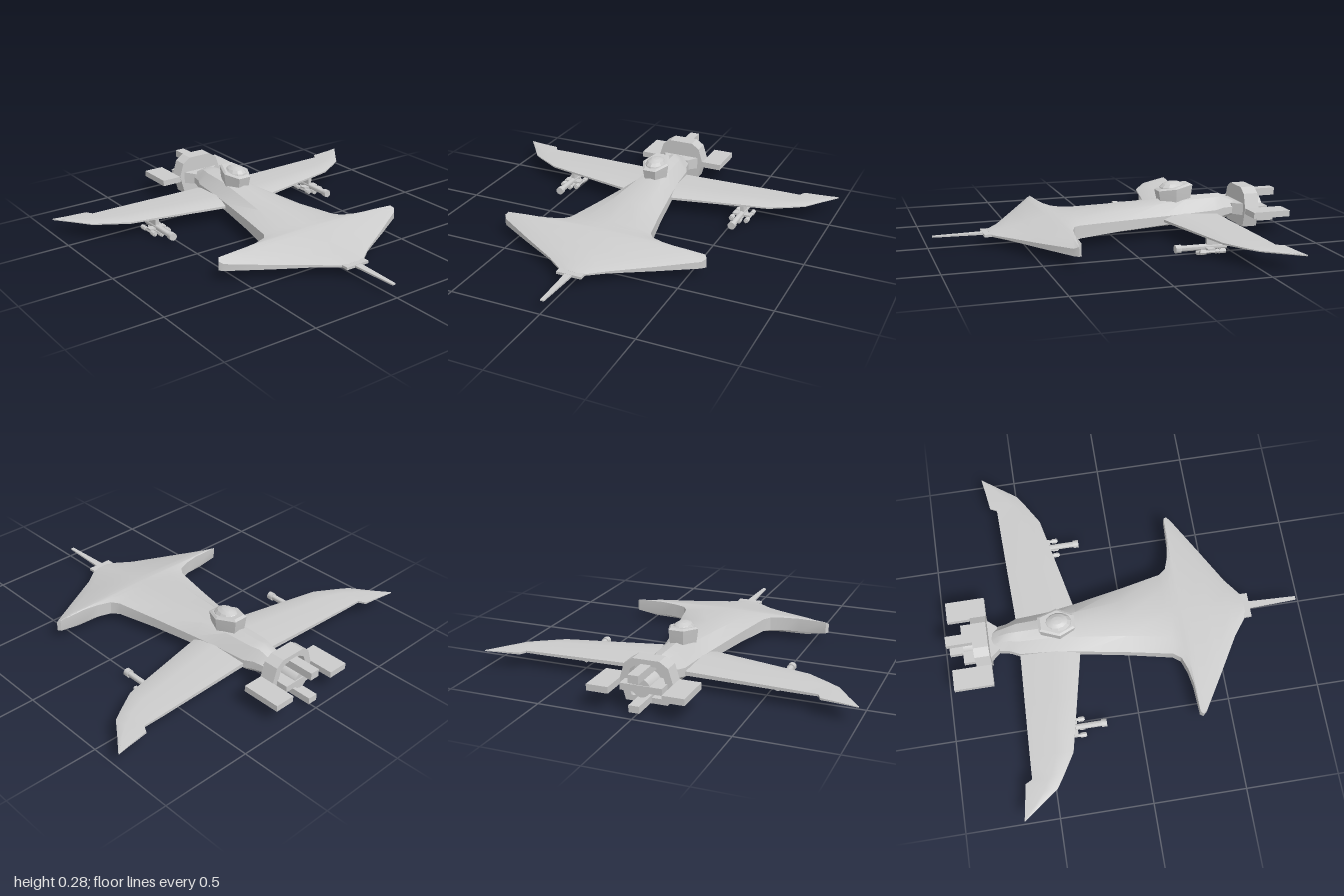
import * as THREE from 'three';
import { toCreasedNormals } from 'three/addons/utils/BufferGeometryUtils.js';

const material = new THREE.MeshStandardMaterial({ color: 0xcccccc });

function add(parent, name, geometry, x = 0, y = 0, z = 0) {
  const mesh = new THREE.Mesh(geometry, material);
  mesh.name = name;
  mesh.position.set(x, y, z);
  parent.add(mesh);
  return mesh;
}

// Closed skin over a row of equal-length rings, faces turned outward
function loft(rings, crease = 0.45) {
  const n = rings[0].length, last = rings.length - 1, index = [];
  for (let i = 0; i < last; i++) {
    for (let j = 0; j < n; j++) {
      const a = i * n + j, b = i * n + (j + 1) % n;
      index.push(a, b, a + n, b, b + n, a + n);
    }
  }
  for (let j = 1; j < n - 1; j++) {
    index.push(0, j + 1, j, last * n, last * n + j, last * n + j + 1);
  }
  const p = rings.flat().map(q => new THREE.Vector3(...q));
  let volume = 0;
  for (let k = 0; k < index.length; k += 3) {
    volume += p[index[k]].dot(p[index[k + 1]].clone().cross(p[index[k + 2]]));
  }
  if (volume < 0) index.reverse();
  const geometry = new THREE.BufferGeometry().setFromPoints(p);
  geometry.setIndex(index);
  return toCreasedNormals(geometry, crease);
}

// Symmetric hull ring: half outline from top centre to bottom centre, mirrored
function hullRing([z, w, top, s, shoulder, edgeTop, edgeLow, low]) {
  const half = [[s * w, shoulder], [w, edgeTop], [w, edgeLow], [0.8 * w, low]];
  return [
    [0, top, z], ...half.map(([x, y]) => [x, y, z]),
    [0, low, z], ...half.reverse().map(([x, y]) => [-x, y, z]),
  ];
}

function rodZ(radius, length, sides = 10) {
  return toCreasedNormals(new THREE.CylinderGeometry(radius, radius, length, sides).rotateX(Math.PI / 2), 0.7);
}

function buildWing(side) {
  // x, leading z, trailing z, half thickness
  const stations = [
    [0.04, -0.25, -0.59, 0.028], [0.14, -0.265, -0.592, 0.027], [0.4, -0.32, -0.602, 0.022],
    [0.68, -0.38, -0.612, 0.018], [0.79, -0.445, -0.615, 0.014], [0.81, -0.457, -0.653, 0.013],
    [0.86, -0.49, -0.66, 0.011], [0.93, -0.585, -0.67, 0.008], [1, -0.677, -0.682, 0.004],
  ];
  return loft(stations.map(([x, front, back, t]) => {
    const at = (f, y) => [side * x, 0.095 + y * t, front + (back - front) * f];
    return [at(0, 0.25), at(0.15, 0.8), at(0.4, 1), at(1, 0.4), at(1, -0.4), at(0.4, -0.9), at(0.15, -0.8), at(0, -0.25)];
  }));
}

function buildGuns(side) {
  const guns = new THREE.Group();
  guns.name = side > 0 ? 'leftGuns' : 'rightGuns';
  guns.position.x = side * 0.535;
  add(guns, 'mainBarrel', rodZ(0.016, 0.26), 0, 0.045, -0.33);
  add(guns, 'mainMuzzle', rodZ(0.022, 0.03), 0, 0.045, -0.195);
  add(guns, 'pylon', new THREE.BoxGeometry(0.022, 0.05, 0.12), 0, 0.068, -0.41);
  add(guns, 'crossBar', new THREE.BoxGeometry(0.1, 0.012, 0.04), 0, 0.04, -0.36);
  for (const [x, y] of [[-0.044, 0.03], [0.044, 0.03], [0, 0.018]]) {
    add(guns, 'smallBarrel', rodZ(0.009, 0.14, 8), x, y, -0.365);
    add(guns, 'smallMuzzle', rodZ(0.014, 0.03, 8), x, y, -0.315);
    add(guns, 'smallBreech', rodZ(0.013, 0.035, 8), x, y, -0.42);
  }
  return guns;
}

function buildEngine() {
  const engine = new THREE.Group();
  engine.name = 'engine';

  // Faceted housing, hollow at the back
  const outline = [[0.07, 0.24], [0.115, 0.21], [0.14, 0.13], [0.11, 0.02]];
  const ring = [...outline, ...outline.map(([x, y]) => [-x, y]).reverse()].map(q => new THREE.Vector2(...q));
  const shape = new THREE.Shape(ring);
  const centre = new THREE.Vector2(0, 0.125);
  shape.holes.push(new THREE.Path(ring.map(q => q.clone().sub(centre).multiplyScalar(0.72).add(centre)).reverse()));
  add(engine, 'housing', new THREE.ExtrudeGeometry(shape, { depth: 0.083, bevelEnabled: false }), 0, 0, -0.83);
  add(engine, 'bulkhead', new THREE.ExtrudeGeometry(new THREE.Shape(ring), { depth: 0.02, bevelEnabled: false }), 0, 0, -0.767);

  // Core and exhaust blocks
  add(engine, 'core', rodZ(0.048, 0.13, 12), 0, 0.118, -0.825);
  add(engine, 'coreBar', new THREE.BoxGeometry(0.22, 0.035, 0.13), 0, 0.115, -0.83);
  add(engine, 'topThruster', new THREE.BoxGeometry(0.055, 0.042, 0.21), 0, 0.195, -0.87);
  add(engine, 'bottomThruster', new THREE.BoxGeometry(0.055, 0.036, 0.21), 0, 0.044, -0.87);
  for (const side of [-1, 1]) {
    add(engine, 'sideThruster', new THREE.BoxGeometry(0.115, 0.034, 0.215), side * 0.196, 0.115, -0.857);
    add(engine, 'sideBracket', new THREE.BoxGeometry(0.03, 0.03, 0.08), side * 0.137, 0.115, -0.79);
  }
  return engine;
}

function buildCanopy() {
  const canopy = new THREE.Group();
  canopy.name = 'canopy';
  // Six-sided frame whose rim rises toward the back
  const frame = [[0.038, -0.27], [0.08, -0.36], [0.04, -0.468]];
  const hex = [...frame, ...frame.map(([x, z]) => [-x, z]).reverse()];
  const level = (scale, yAt) => hex.map(([x, z]) => [x * scale, yAt(z), -0.37 + (z + 0.37) * scale]);
  const rise = z => 0.238 + (-0.27 - z) * 0.14;
  add(canopy, 'canopyFrame', loft([
    level(0.85, () => 0.165), level(0.92, () => 0.2), level(1, rise), level(0.85, z => rise(z) + 0.008),
  ], 0.2));
  const dome = toCreasedNormals(new THREE.SphereGeometry(1, 12, 8).scale(0.06, 0.052, 0.082), 0.3);
  add(canopy, 'canopyGlass', dome, 0, 0.235, -0.365);
  return canopy;
}

export function createModel() {
  const model = new THREE.Group();
  model.name = 'fighterCraft';

  // Hull: z, half width, top, shoulder fraction, shoulder y, edge top, edge bottom, bottom
  const hull = [
    [0.68, 0.06, 0.074, 0.6, 0.073, 0.069, 0.061, 0.057],
    [0.6, 0.165, 0.088, 0.6, 0.085, 0.072, 0.06, 0.051],
    [0.48, 0.37, 0.112, 0.7, 0.105, 0.085, 0.06, 0.046],
    [0.36, 0.57, 0.138, 0.8, 0.126, 0.1, 0.062, 0.042],
    [0.338, 0.588, 0.14, 0.8, 0.13, 0.112, 0.062, 0.042],
    [0.322, 0.575, 0.142, 0.8, 0.133, 0.125, 0.06, 0.042],
    [0.315, 0.42, 0.143, 0.75, 0.136, 0.13, 0.055, 0.042],
    [0.3, 0.335, 0.144, 0.7, 0.138, 0.13, 0.055, 0.043],
    [0.275, 0.265, 0.146, 0.65, 0.141, 0.13, 0.056, 0.044],
    [0.235, 0.235, 0.149, 0.6, 0.144, 0.128, 0.058, 0.046],
    [0, 0.187, 0.167, 0.55, 0.157, 0.124, 0.068, 0.055],
    [-0.26, 0.14, 0.188, 0.52, 0.174, 0.12, 0.072, 0.06],
    [-0.42, 0.115, 0.198, 0.5, 0.184, 0.12, 0.075, 0.06],
    [-0.59, 0.103, 0.2, 0.5, 0.187, 0.125, 0.08, 0.06],
    [-0.64, 0.08, 0.2, 0.5, 0.187, 0.13, 0.085, 0.064],
    [-0.7, 0.07, 0.172, 0.5, 0.165, 0.13, 0.095, 0.08],
    [-0.745, 0.05, 0.145, 0.5, 0.142, 0.13, 0.105, 0.095],
  ];
  add(model, 'hull', loft(hull.map(hullRing)));

  // Flared neck joining hull and engine
  const neckRing = (z, w, low, high) => [[w, high, z], [w, low, z], [-w, low, z], [-w, high, z]];
  add(model, 'neck', loft([neckRing(-0.695, 0.066, 0.09, 0.15), neckRing(-0.76, 0.12, 0.085, 0.155)]));

  // Nose block and tapered lance
  add(model, 'noseBlock', new THREE.BoxGeometry(0.14, 0.014, 0.042), 0, 0.066, 0.69);
  add(model, 'noseLance', loft([neckRing(0.69, 0.021, 0.061, 0.072), neckRing(0.975, 0.01, 0.063, 0.07)]));

  for (const side of [-1, 1]) {
    add(model, side > 0 ? 'leftWing' : 'rightWing', buildWing(side));
    model.add(buildGuns(side));
  }
  model.add(buildCanopy(), buildEngine());
  return model;
}
